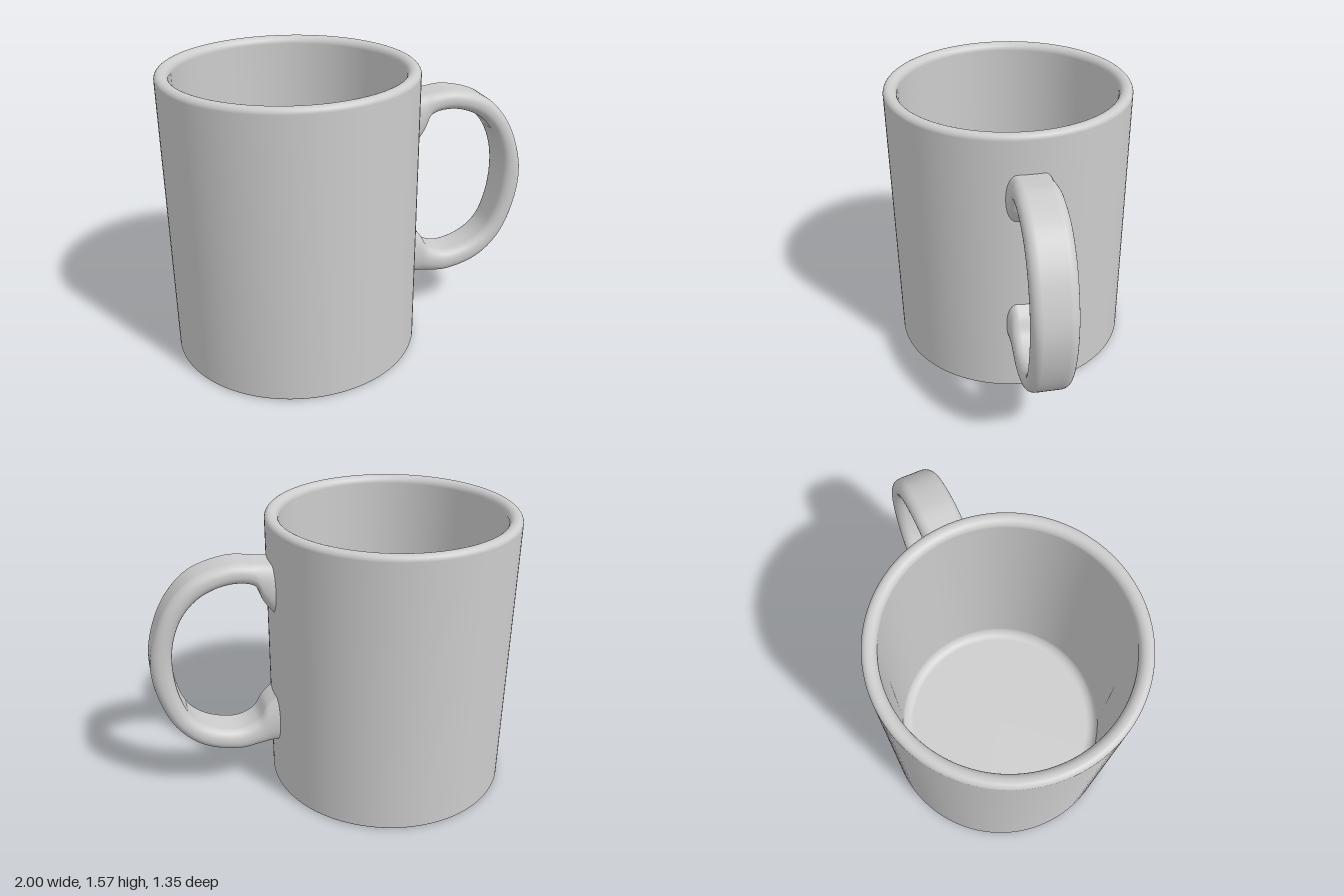
import * as THREE from 'three';

const R = 0.673, INNER = 0.6, H = 1.57, FLOOR = 0.09, CX = -0.327;

// Handle stations, top to bottom: outer x, outer y, inner x, inner y, half width
const STATIONS = [
  [0.31, 1.355, 0.31, 1.06, 0.128],
  [0.35, 1.36, 0.35, 1.105, 0.124],
  [0.395, 1.366, 0.392, 1.165, 0.118],
  [0.45, 1.374, 0.43, 1.25, 0.115],
  [0.56, 1.38, 0.55, 1.275, 0.115],
  [0.757, 1.32, 0.70, 1.23, 0.115],
  [0.89, 1.185, 0.80, 1.14, 0.115],
  [0.97, 1.01, 0.865, 1.0, 0.115],
  [1.0, 0.84, 0.885, 0.84, 0.115],
  [0.97, 0.64, 0.862, 0.65, 0.115],
  [0.89, 0.46, 0.803, 0.515, 0.115],
  [0.757, 0.335, 0.70, 0.436, 0.115],
  [0.56, 0.278, 0.55, 0.404, 0.115],
  [0.45, 0.288, 0.45, 0.445, 0.115],
  [0.395, 0.295, 0.397, 0.527, 0.118],
  [0.35, 0.3, 0.35, 0.57, 0.124],
  [0.31, 0.302, 0.31, 0.6, 0.128],
];

// Body profile: base, outer wall, rounded rim, inner wall, filleted floor
function bodyGeometry() {
  const p = new THREE.Path();
  const q = Math.PI / 2;
  p.moveTo(0, 0);
  p.lineTo(R - 0.012, 0);
  p.absarc(R - 0.012, 0.012, 0.012, -q, 0, false);
  p.absarc(R - 0.03, H - 0.03, 0.03, 0, q, false);
  p.absarc(INNER + 0.04, H - 0.04, 0.04, q, 2 * q, false);
  p.absarc(INNER - 0.06, FLOOR + 0.06, 0.06, 0, -q, true);
  p.lineTo(0, FLOOR);
  return new THREE.LatheGeometry(p.getPoints(6), 128);
}

// Unit rounded-rectangle section: u across the thickness, v across the width
function sectionPoints() {
  const pts = [], ru = 0.92, rv = 0.45, n = 8;
  const corners = [[1, 1], [-1, 1], [-1, -1], [1, -1]];
  corners.forEach(([su, sv], k) => {
    for (let i = 0; i <= n; i++) {
      const a = (k + i / n) * Math.PI / 2;
      pts.push([su * (1 - ru) + ru * Math.cos(a), sv * (1 - rv) + rv * Math.sin(a)]);
    }
  });
  return pts;
}

// Handle lofted between its outer and inner curves
function handleGeometry() {
  const outer = new THREE.CatmullRomCurve3(STATIONS.map(s => new THREE.Vector3(s[0], s[1], s[4])));
  const inner = new THREE.CatmullRomCurve3(STATIONS.map(s => new THREE.Vector3(s[2], s[3], s[4])));
  const section = sectionPoints(), m = section.length, steps = 128;
  const pos = [], index = [];
  for (let i = 0; i <= steps; i++) {
    const o = outer.getPoint(i / steps), n = inner.getPoint(i / steps);
    for (const [u, v] of section) {
      const k = (1 + u) / 2;
      pos.push(n.x + (o.x - n.x) * k, n.y + (o.y - n.y) * k, o.z * v);
    }
  }
  for (let i = 0; i < steps; i++) {
    for (let j = 0; j < m; j++) {
      const a = i * m + j, b = i * m + (j + 1) % m;
      index.push(a, b, b + m, a, b + m, a + m);
    }
  }
  const g = new THREE.BufferGeometry();
  g.setAttribute('position', new THREE.Float32BufferAttribute(pos, 3));
  g.setIndex(index);
  g.computeVertexNormals();
  return g;
}

export function createModel() {
  const group = new THREE.Group();
  group.name = 'mug';
  const ceramic = new THREE.MeshStandardMaterial({ color: 0xcccccc });
  ceramic.name = 'grey ceramic';

  const body = new THREE.Mesh(bodyGeometry(), ceramic);
  body.name = 'body';
  body.position.x = CX;
  const handle = new THREE.Mesh(handleGeometry(), ceramic);
  handle.name = 'handle';
  group.add(body, handle);
  return group;
}
